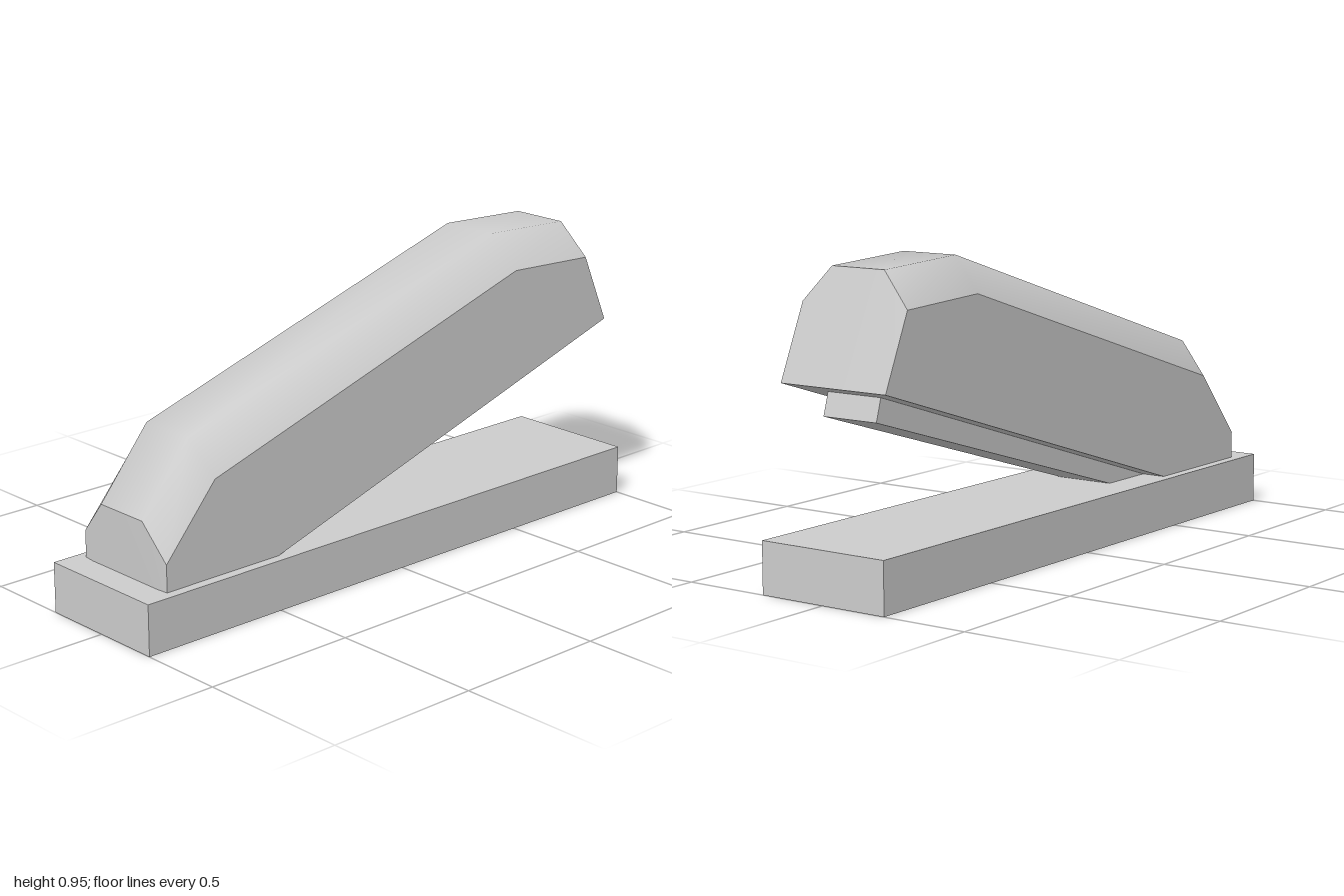
import * as THREE from 'three';
import { mergeGeometries } from 'three/addons/utils/BufferGeometryUtils.js';

const material = new THREE.MeshStandardMaterial({ color: 0xcccccc });

// Arm profile as [x, y] stations from the hinge end to the nose
const ridge = [[-0.915, 0.355], [-0.74, 0.567], [0.5, 0.955], [0.827, 0.94]];
const shoulder = [[-0.905, 0.245], [-0.72, 0.46], [0.52, 0.85], [0.845, 0.835]];
const heel = [-0.905, 0.026], toe = [0.945, 0.61];
const HALF = 0.19, RIDGE_HALF = 0.095;

const at = ([x, y], z) => [x, y, z];

// One smooth patch; separate patches meet at sharp edges
function patch(points, faces) {
  const g = new THREE.BufferGeometry();
  g.setAttribute('position', new THREE.Float32BufferAttribute(points.flat(), 3));
  g.setIndex(faces.flat());
  g.computeVertexNormals();
  return g;
}

// Flat convex polygon as a triangle fan
function fan(points) {
  const faces = [];
  for (let i = 1; i < points.length - 1; i++) faces.push([0, i, i + 1]);
  return patch(points, faces);
}

// Chamfered roof, smooth across and along
function roof() {
  const points = [], faces = [];
  ridge.forEach((top, i) => {
    points.push(at(shoulder[i], HALF), at(top, RIDGE_HALF), at(top, -RIDGE_HALF), at(shoulder[i], -HALF));
    if (i === ridge.length - 1) return;
    for (let j = 0; j < 3; j++) {
      const a = i * 4 + j, b = a + 4;
      faces.push([a, b, b + 1], [a, b + 1, a + 1]);
    }
  });
  return patch(points, faces);
}

// Six-cornered end face: bottom edge, shoulders and ridge
function endCap(bottom, sh, top, flip) {
  const points = [at(bottom, HALF), at(bottom, -HALF), at(sh, -HALF),
    at(top, -RIDGE_HALF), at(top, RIDGE_HALF), at(sh, HALF)];
  const faces = [[0, 1, 3], [0, 3, 4], [1, 2, 3], [0, 4, 5]];
  return patch(points, flip ? faces.map(f => [...f].reverse()) : faces);
}

function armGeometry() {
  const outline = [heel, toe, ...[...shoulder].reverse()];
  return mergeGeometries([
    roof(),
    fan(outline.map(p => at(p, HALF))),
    fan([...outline].reverse().map(p => at(p, -HALF))),
    endCap(toe, shoulder[3], ridge[3], false),
    endCap(heel, shoulder[0], ridge[0], true),
    fan([at(heel, HALF), at(heel, -HALF), at(toe, -HALF), at(toe, HALF)]),
  ]);
}

export function createModel() {
  const group = new THREE.Group();
  const add = (name, geometry) => {
    const mesh = new THREE.Mesh(geometry, material);
    mesh.name = name;
    group.add(mesh);
    return mesh;
  };

  // Flat base
  add('base', new THREE.BoxGeometry(2, 0.16, 0.444)).position.y = 0.08;

  // Raised arm, its heel sunk into the base
  add('arm', armGeometry());

  // Slim rail under the arm, slightly off centre
  const side = new THREE.Shape([[-0.7, 0.033], [0.89, 0.517], [0.868, 0.59], [-0.7, 0.113]]
    .map(p => new THREE.Vector2(...p)));
  add('rail', new THREE.ExtrudeGeometry(side, { depth: 0.192, bevelEnabled: false })).position.z = -0.112;

  return group;
}
